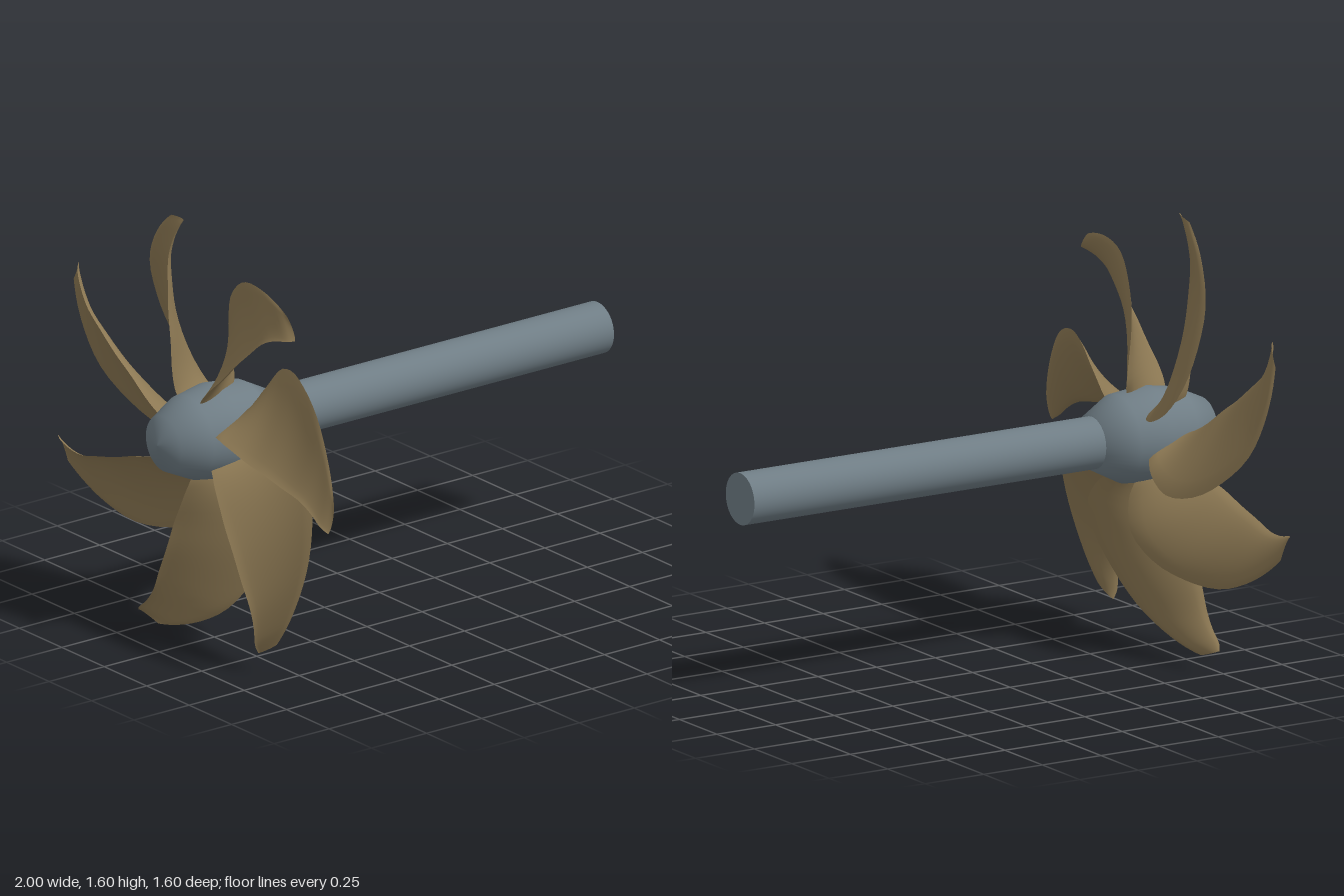
import * as THREE from 'three';

const AXIS_Y = 0.795, AXIS_Z = -0.013, BLADES = 7;

// Blade outline: radius, then angle (degrees) and x of the trailing and leading edges
const OUTLINE = [
  [0.12, 110, -0.84, 96, -0.68],
  [0.17, 114, -0.855, 86, -0.64],
  [0.23, 120, -0.865, 78.5, -0.62],
  [0.34, 126.5, -0.87, 78, -0.615],
  [0.455, 129, -0.873, 86.2, -0.65],
  [0.56, 131, -0.873, 97, -0.70],
  [0.66, 132.3, -0.87, 107.5, -0.75],
  [0.73, 134.5, -0.865, 117.5, -0.785],
  [0.785, 137, -0.86, 126, -0.81],
  [0.817, 138.2, -0.845, 131.3, -0.825],
];

function edgeCurve(angleCol, xCol) {
  const pts = OUTLINE.map(o => new THREE.Vector3(o[0], THREE.MathUtils.degToRad(o[angleCol]), o[xCol]));
  return new THREE.CatmullRomCurve3(pts, false, 'catmullrom');
}

// Two skins, front and back, that meet along the sharp rim
function bladeGeometry(rows = 27, cols = 14) {
  const trailing = edgeCurve(1, 2), leading = edgeCurve(3, 4);
  const pos = [], idx = [];
  for (const side of [1, -1]) {
    const base = pos.length / 3;
    for (let i = 0; i <= rows; i++) {
      const t = i / rows;
      const a = trailing.getPoint(t), b = leading.getPoint(t);
      const r = a.x, dx = b.z - a.z, ds = r * (a.y - b.y), len = Math.hypot(dx, ds);
      const thick = 0.015 * (1 - 0.5 * t) * Math.min(1, (1 - t) * 8);
      for (let j = 0; j <= cols; j++) {
        const s = (j / cols) ** 1.4;
        const h = side * thick * Math.sqrt(4 * s * (1 - s));
        // the section rises steeply from the trailing edge, then flattens
        const camber = 0.18 * len * Math.sqrt(s) * (1 - s);
        const x = a.z + dx * s + camber + h * ds / len;
        const angle = a.y + (b.y - a.y) * s + h * dx / len / r;
        pos.push(x, r * Math.sin(angle), -r * Math.cos(angle));
      }
    }
    for (let i = 0; i < rows; i++) {
      for (let j = 0; j < cols; j++) {
        const p = base + i * (cols + 1) + j, q = p + cols + 1;
        if (side > 0) idx.push(p, p + 1, q, p + 1, q + 1, q);
        else idx.push(p, q, p + 1, p + 1, q, q + 1);
      }
    }
  }
  const geo = new THREE.BufferGeometry();
  geo.setAttribute('position', new THREE.Float32BufferAttribute(pos, 3));
  geo.setIndex(idx);
  geo.computeVertexNormals();
  return geo;
}

export function createModel() {
  const steel = new THREE.MeshStandardMaterial({ color: 0x6f7d85 });
  steel.name = 'steel';
  const bronze = new THREE.MeshStandardMaterial({ color: 0x8c7853 });
  bronze.name = 'bronze';

  const model = new THREE.Group();
  model.name = 'propeller';
  const rotor = new THREE.Group();
  rotor.name = 'rotor';
  rotor.position.set(0, AXIS_Y, AXIS_Z);
  model.add(rotor);

  const add = (name, geo, mat) => {
    const mesh = new THREE.Mesh(geo, mat);
    mesh.name = name;
    rotor.add(mesh);
    return mesh;
  };

  // Hub, turned about the shaft axis
  const profile = [[0, -1], [0.105, -0.97], [0.157, -0.86], [0.177, -0.74],
    [0.163, -0.61], [0.105, -0.5], [0, -0.5]].map(p => new THREE.Vector2(...p));
  add('hub', new THREE.LatheGeometry(profile, 48).rotateZ(-Math.PI / 2), steel);

  // Drive shaft, its hidden end seated in the hub
  const shaft = new THREE.CylinderGeometry(0.096, 0.096, 1.52, 48).rotateZ(-Math.PI / 2);
  add('shaft', shaft.translate(0.24, 0, 0), steel);

  // Skewed blades
  const blade = bladeGeometry();
  for (let k = 0; k < BLADES; k++) {
    add('blade' + (k + 1), blade, bronze).rotation.x = k * 2 * Math.PI / BLADES;
  }
  return model;
}
